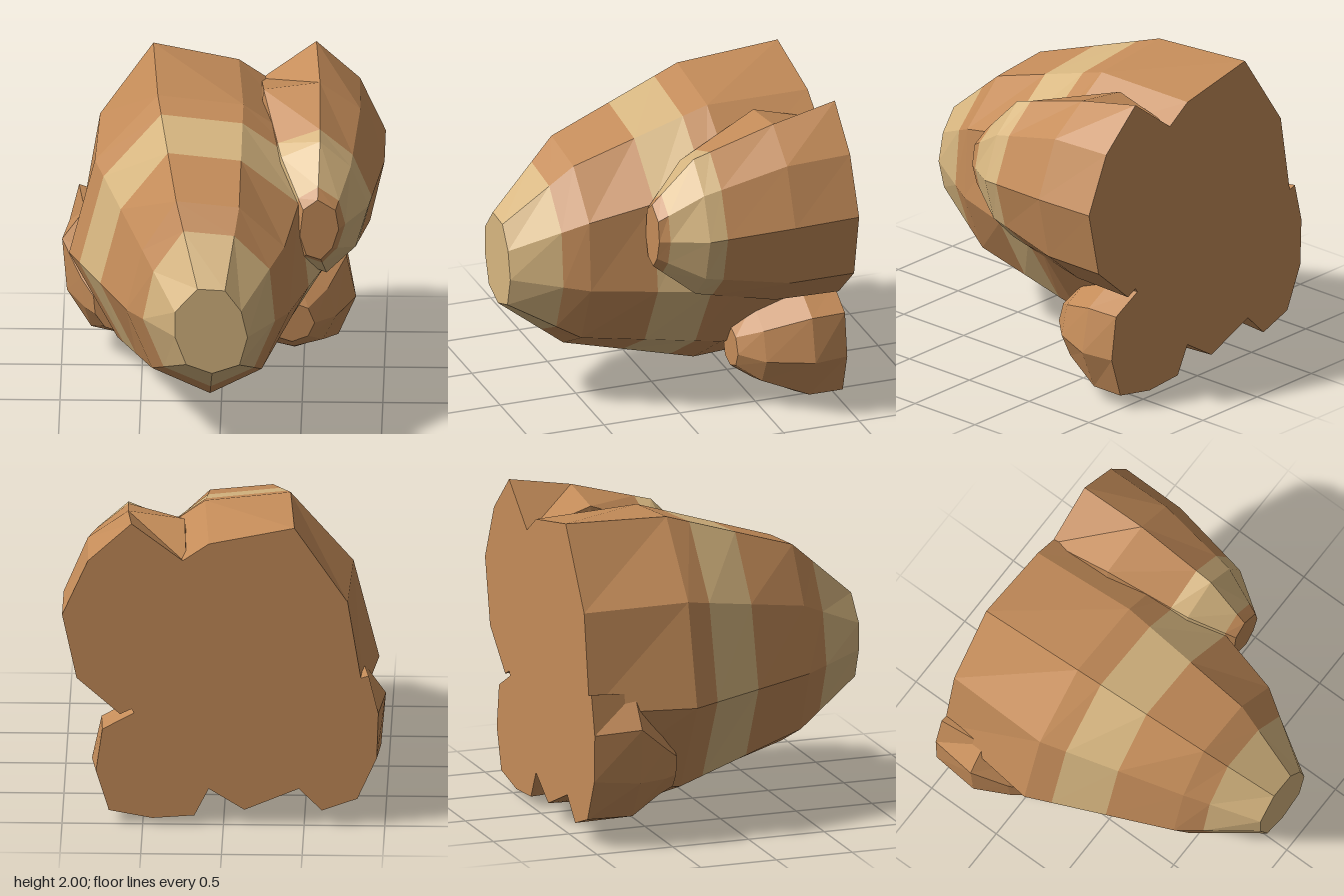
import * as THREE from 'three';

const CUTS = [0.71, 0.16, -0.16]; // depths where the colour changes

// Each ring is [z, [x, y], ...], front to back, clockwise as seen from the front.
const HORNS = {
  mainHorn: [
    [1, [-0.13, 1.26], [0.04, 1.25], [0.14, 1.11], [0.18, 0.93], [0.13, 0.74], [-0.04, 0.68], [-0.2, 0.74], [-0.27, 0.93], [-0.27, 1.1]],
    [0.56, [-0.27, 1.65], [0.12, 1.61], [0.4, 1.34], [0.43, 0.89], [0.26, 0.5], [-0.06, 0.33], [-0.42, 0.5], [-0.58, 0.9], [-0.48, 1.31]],
    [-0.32, [-0.4, 1.95], [0.13, 1.89], [0.58, 1.57], [0.68, 0.85], [0.37, 0.38], [-0.11, 0.07], [-0.65, 0.28], [-0.95, 0.86], [-0.79, 1.5]],
    [-1, [-0.44, 1.98], [0.09, 1.87], [0.55, 1.55], [0.62, 0.85], [0.35, 0.4], [-0.13, 0.1], [-0.6, 0.3], [-0.87, 0.87], [-0.77, 1.49]],
  ],
  upperLeftHorn: [
    [0.22, [0.6, 1.5], [0.71, 1.43], [0.73, 1.3], [0.69, 1.17], [0.62, 1.09], [0.53, 1.12], [0.49, 1.25], [0.51, 1.43]],
    [-0.05, [0.61, 1.77], [0.8, 1.6], [0.91, 1.33], [0.83, 1.05], [0.65, 0.87], [0.45, 0.95], [0.33, 1.3], [0.37, 1.66]],
    [-0.58, [0.6, 1.92], [0.85, 1.74], [1, 1.38], [0.91, 0.97], [0.64, 0.74], [0.4, 0.85], [0.2, 1.35], [0.25, 1.87]],
    [-1, [0.57, 2], [0.84, 1.75], [1, 1.39], [0.91, 0.97], [0.64, 0.73], [0.4, 0.85], [0.2, 1.3], [0.23, 1.74]],
  ],
  lowerLeftHorn: [
    [-0.36, [0.45, 0.5], [0.53, 0.47], [0.57, 0.37], [0.53, 0.28], [0.43, 0.24], [0.34, 0.27], [0.31, 0.37], [0.36, 0.46]],
    [-0.5, [0.46, 0.65], [0.65, 0.54], [0.7, 0.35], [0.62, 0.19], [0.44, 0.14], [0.27, 0.18], [0.18, 0.37], [0.28, 0.58]],
    [-0.78, [0.55, 0.75], [0.76, 0.63], [0.82, 0.35], [0.71, 0.09], [0.44, 0], [0.18, 0.07], [0.07, 0.35], [0.2, 0.68]],
    [-1, [0.55, 0.74], [0.75, 0.63], [0.79, 0.35], [0.71, 0.09], [0.44, 0.04], [0.18, 0.06], [0.06, 0.3], [0.2, 0.68]],
  ],
  lowerRightHorn: [
    [-0.4, [-0.72, 0.6], [-0.62, 0.55], [-0.56, 0.45], [-0.57, 0.35], [-0.64, 0.28], [-0.73, 0.31], [-0.79, 0.4], [-0.8, 0.52]],
    [-0.5, [-0.76, 0.75], [-0.58, 0.68], [-0.48, 0.5], [-0.52, 0.32], [-0.62, 0.22], [-0.75, 0.27], [-0.86, 0.4], [-0.88, 0.6]],
    [-0.7, [-0.86, 0.97], [-0.6, 0.9], [-0.4, 0.62], [-0.44, 0.29], [-0.61, 0.12], [-0.82, 0.17], [-0.97, 0.42], [-1, 0.77]],
    [-1, [-0.9, 1], [-0.6, 0.9], [-0.4, 0.62], [-0.42, 0.29], [-0.61, 0.1], [-0.83, 0.18], [-0.95, 0.45], [-0.96, 0.75]],
  ],
};

// Adds a ring at every colour change so each band has a crisp border.
function withCuts(rings) {
  const out = [rings[0]];
  for (let k = 1; k < rings.length; k++) {
    const [a, b] = [rings[k - 1], rings[k]];
    for (const z of CUTS) {
      if (z >= a[0] || z <= b[0]) continue;
      const t = (a[0] - z) / (a[0] - b[0]);
      out.push([z, ...a.slice(1).map(([x, y], i) => [
        x + (b[i + 1][0] - x) * t, y + (b[i + 1][1] - y) * t])]);
    }
    out.push(b);
  }
  return out;
}

// 0 = base colour, 1 = pale band
const colourAt = z => (z > CUTS[0] || (z < CUTS[1] && z > CUTS[2]) ? 1 : 0);

function hornGeometry(source) {
  const rings = withCuts(source).map(([z, ...pts]) => pts.map(([x, y]) => [x, y, z]));
  const n = rings[0].length;
  const faces = [[], []];
  const centre = r => [0, 1, 2].map(c => r.reduce((s, p) => s + p[c], 0) / n);
  const front = rings[0], back = rings[rings.length - 1];
  const cf = centre(front), cb = centre(back);
  for (let i = 0; i < n; i++) {
    const j = (i + 1) % n;
    // blunt tip and flat rear
    faces[colourAt(cf[2])].push(cf, front[j], front[i]);
    faces[0].push(cb, back[i], back[j]);
    // sides
    for (let k = 1; k < rings.length; k++) {
      const a = rings[k - 1], b = rings[k];
      faces[colourAt((a[0][2] + b[0][2]) / 2)].push(a[i], a[j], b[i], a[j], b[j], b[i]);
    }
  }
  const geo = new THREE.BufferGeometry();
  geo.setAttribute('position', new THREE.Float32BufferAttribute([...faces[0], ...faces[1]].flat(), 3));
  geo.addGroup(0, faces[0].length, 0);
  if (faces[1].length) geo.addGroup(faces[0].length, faces[1].length, 1);
  geo.computeVertexNormals();
  return geo;
}

export function createModel() {
  const brown = new THREE.MeshStandardMaterial({ color: 0xc48c59, flatShading: true });
  brown.name = 'warm brown';
  const tan = new THREE.MeshStandardMaterial({ color: 0xd7b680, flatShading: true });
  tan.name = 'pale tan';

  const group = new THREE.Group();
  group.name = 'hornCluster';
  for (const [name, rings] of Object.entries(HORNS)) {
    const mesh = new THREE.Mesh(hornGeometry(rings), [brown, tan]);
    mesh.name = name;
    group.add(mesh);
  }
  return group;
}
